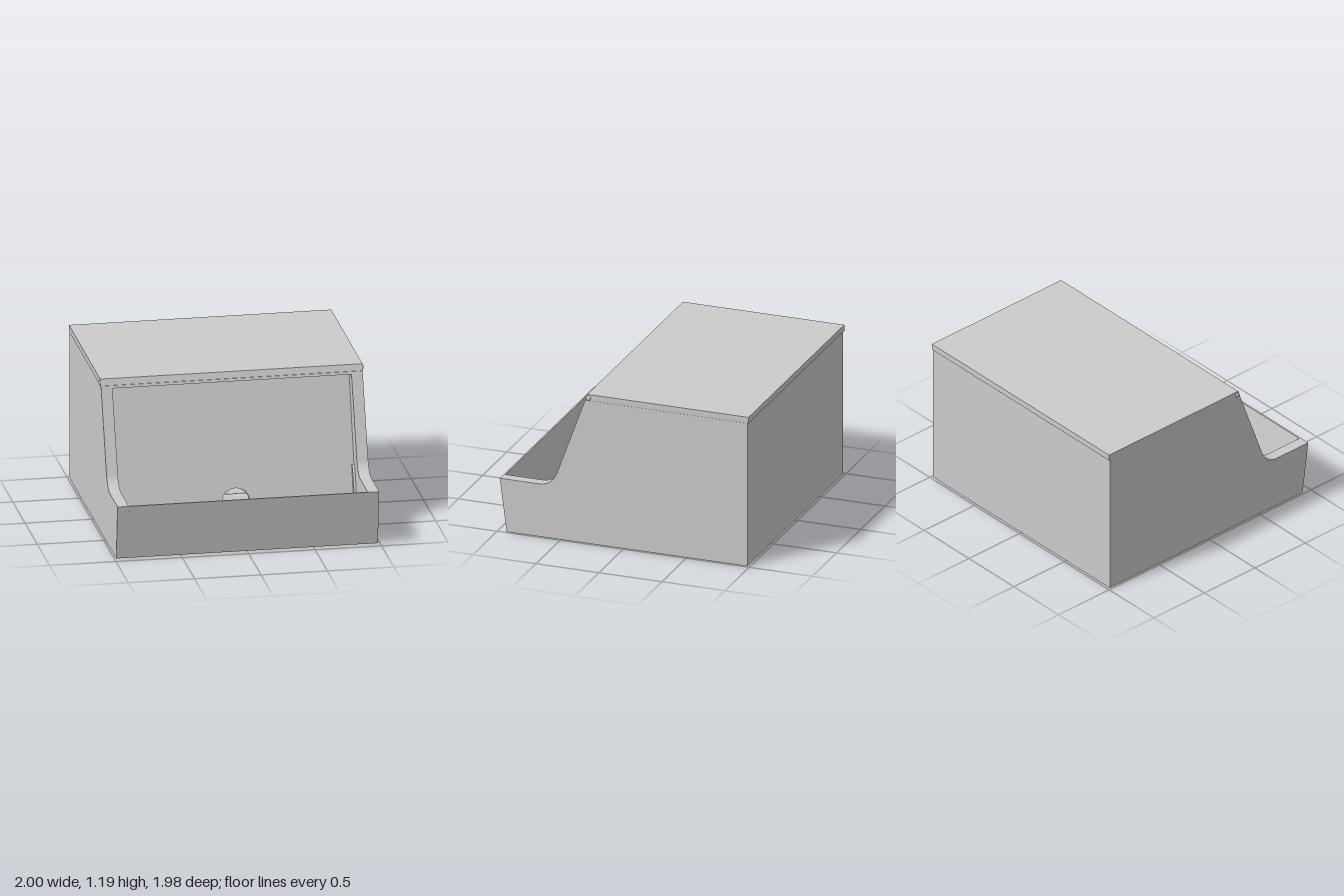
import * as THREE from 'three';
import { toCreasedNormals } from 'three/addons/utils/BufferGeometryUtils.js';

const material = new THREE.MeshStandardMaterial({ color: 0xcccccc, side: THREE.DoubleSide });

export function createModel() {
  const model = new THREE.Group();

  const add = (name, geometry) => {
    const mesh = new THREE.Mesh(geometry, material);
    mesh.name = name;
    model.add(mesh);
    return mesh;
  };

  // Extrudes a (z, y) profile across the width from x0 to x1
  const across = (name, shape, x0, x1) => {
    const g = new THREE.ExtrudeGeometry(shape, { depth: x1 - x0, bevelEnabled: false, curveSegments: 10 });
    g.rotateY(-Math.PI / 2).translate(x1, 0, 0);
    return add(name, toCreasedNormals(g, 0.6));
  };
  const polygon = (...points) => new THREE.Shape(points.map(([z, y]) => new THREE.Vector2(z, y)));

  const W = 0.985; // outer half width
  const I = 0.9; // inner half width

  // Side walls with a sloped front running into the low tray
  const side = new THREE.Shape();
  side.moveTo(-0.98, 0);
  side.lineTo(0.93, 0);
  side.lineTo(0.985, 0.42);
  side.lineTo(0.68, 0.42);
  side.quadraticCurveTo(0.57, 0.42, 0.53, 0.53);
  side.lineTo(0.308, 1.14);
  side.lineTo(-0.98, 1.14);
  across('leftWall', side, I, W);
  across('rightWall', side, -W, -I);

  // Shell panels between the sides
  across('floor', polygon([-0.98, 0], [0.93, 0], [0.934, 0.03], [-0.98, 0.03]), -I, I);
  across('backWall', polygon([-0.98, 0.03], [-0.93, 0.03], [-0.93, 1.14], [-0.98, 1.14]), -I, I);
  across('frontLip', polygon([0.92, 0.03], [0.934, 0.03], [0.985, 0.42], [0.973, 0.42]), -I, I);
  across('topBar', polygon([0.2, 1.12], [0.315, 1.12], [0.308, 1.14], [0.2, 1.14]), -I, I);

  // Lid with a sloped front edge
  across('lid', polygon([-0.99, 1.142], [0.308, 1.142], [0.29, 1.19], [-0.99, 1.19]), -0.988, 0.988);

  // Hinge pins at the front corners of the lid
  for (const s of [-1, 1]) {
    const pin = new THREE.SphereGeometry(0.02, 16, 10);
    pin.scale(0.75, 1, 1).translate(s * 0.983, 1.16, 0.28);
    add(s > 0 ? 'leftHingePin' : 'rightHingePin', pin);
  }

  // Inset leaning front panel with an arched notch in its lower edge
  const lean = Math.atan(0.31);
  const length = 0.99 / Math.cos(lean);
  const panel = new THREE.Shape();
  panel.moveTo(-I, 0);
  panel.lineTo(-0.1, 0);
  panel.lineTo(-0.1, 0.1);
  panel.absellipse(0, 0.1, 0.1, 0.09, Math.PI, 0, true);
  panel.lineTo(0.1, 0);
  panel.lineTo(I, 0);
  panel.lineTo(I, length);
  panel.lineTo(-I, length);
  const panelGeometry = new THREE.ExtrudeGeometry(panel, { depth: 0.03, bevelEnabled: false, curveSegments: 20 });
  panelGeometry.translate(0, 0, -0.03).rotateX(-lean).translate(0, 0.15, 0.51);
  add('frontPanel', toCreasedNormals(panelGeometry, 0.6));

  // Ribbed ramp rising towards the back, each rib a rounded ridge
  const ramp = new THREE.Shape();
  const step = 0.08;
  const ribs = 22;
  const height = (z) => 0.06 + (0.92 - z) * 0.25;
  ramp.moveTo(0.92, 0.03);
  ramp.lineTo(0.92, height(0.92));
  for (let i = 0; i < ribs; i++) {
    for (let j = 1; j <= 8; j++) {
      const z = 0.92 - (i + j / 8) * step;
      ramp.lineTo(z, height(z) + 0.03 * Math.sin((j / 8) * Math.PI));
    }
  }
  ramp.lineTo(0.92 - ribs * step, 0.03);
  across('ribbedRamp', ramp, -0.885, 0.885);

  // Thin end plates of the ramp with rounded tips
  const plate = new THREE.Shape();
  plate.moveTo(0.4, 0.03);
  plate.lineTo(0.91, 0.03);
  plate.lineTo(0.7, 0.15);
  plate.lineTo(0.53, 0.22);
  plate.lineTo(0.455, 0.43);
  plate.quadraticCurveTo(0.44, 0.46, 0.4, 0.445);
  across('leftRampPlate', plate, 0.882, I);
  across('rightRampPlate', plate, -I, -0.882);

  return model;
}
